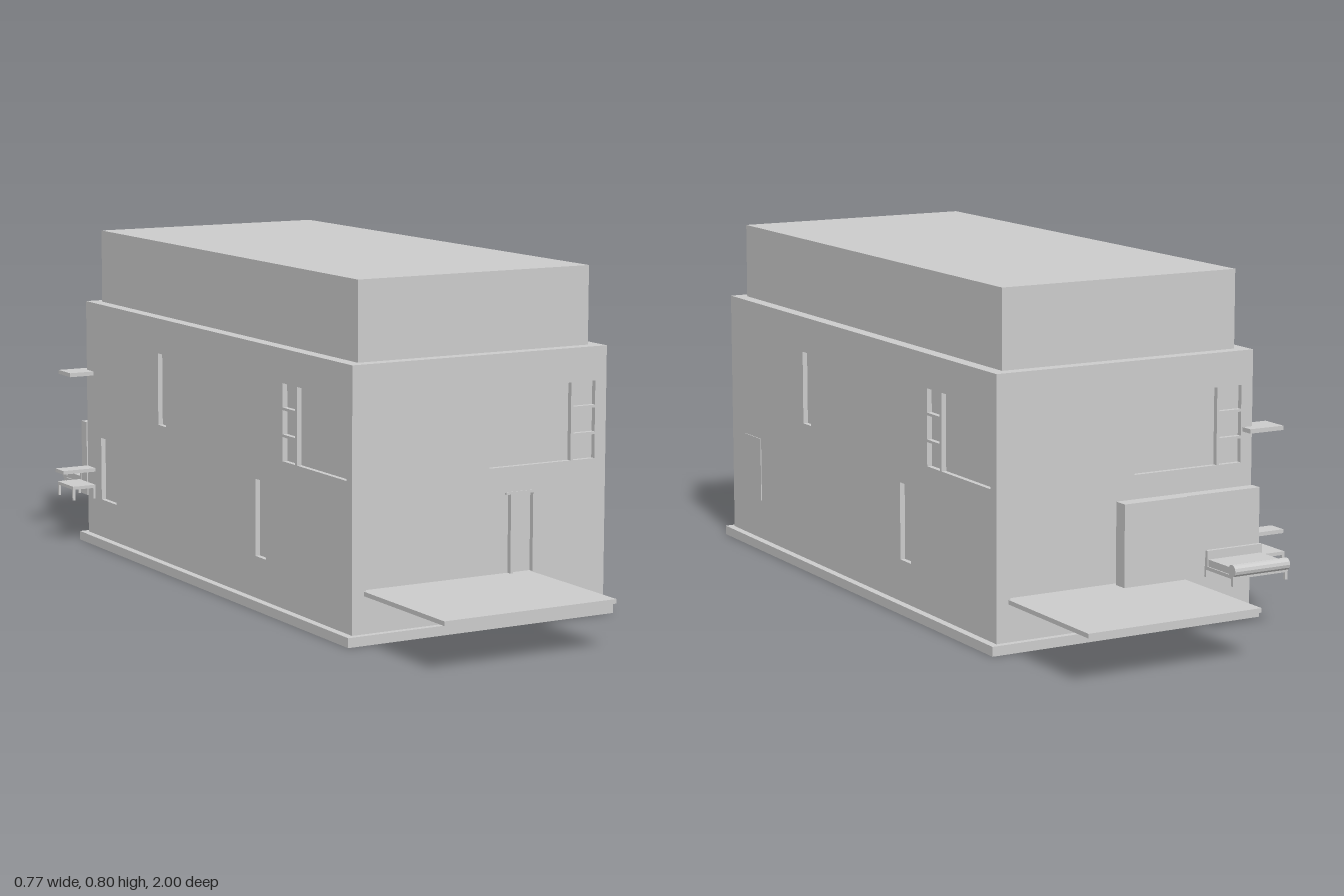
import * as THREE from 'three';

const mat = new THREE.MeshStandardMaterial({ color: 0xcccccc, flatShading: true });
const CX = 0.036;              // centre line of the building
const HW = 0.331, HL = 0.67;   // half width and half length of the walls
const T = 0.012;               // depth of the window and door reveals
const FLOOR = 0.107;

function add(parent, name, geometry) {
  const mesh = new THREE.Mesh(geometry, mat);
  mesh.name = name;
  parent.add(mesh);
  return mesh;
}

// box given by its limits on each axis
function box(parent, name, x0, x1, y0, y1, z0, z1) {
  const mesh = add(parent, name, new THREE.BoxGeometry(x1 - x0, y1 - y0, z1 - z0));
  mesh.position.set((x0 + x1) / 2, (y0 + y1) / 2, (z0 + z1) / 2);
  return mesh;
}

const polygon = (pts, Type = THREE.Shape) => new Type(pts.map(([x, y]) => new THREE.Vector2(x, y)));
const rect = (x0, x1, y0, y1) => [[x0, y0], [x1, y0], [x1, y1], [x0, y1]];

function extrude(outline, holes, depth) {
  const shape = polygon(outline);
  shape.holes = holes.map((h) => polygon(h, THREE.Path));
  return new THREE.ExtrudeGeometry(shape, { depth, bevelEnabled: false });
}

// three small panes stacked beside one large pane
function windowHoles(small0, small1, large0, large1) {
  const holes = [rect(large0, large1, 0.36, 0.537)];
  for (let i = 0; i < 3; i++) {
    const y = 0.36 + i * 0.061;
    holes.push(rect(small0, small1, y, y + 0.055));
  }
  return holes;
}

// floor plan ring with two room voids and a stepped partition, drawn as (x, -z)
function foundation(parent, name, hw, hl, y0, y1) {
  const rooms = [
    [[0.28, -0.61], [0.28, 0.05], [0.045, 0.05], [0.045, -0.105], [-0.28, -0.105], [-0.28, -0.61]],
    [[0.28, 0.61], [0.28, 0.13], [-0.03, 0.13], [-0.03, -0.03], [-0.28, -0.03], [-0.28, 0.61]],
  ];
  const mesh = add(parent, name, extrude(rect(-hw, hw, -hl, hl), rooms, y1 - y0));
  mesh.rotation.x = -Math.PI / 2;
  mesh.position.y = y0;
}

// one end wall and one long wall; the other half is the same turned by 180 degrees
function halfWalls(openSideDoor) {
  const half = new THREE.Group();

  const endHoles = [
    ...windowHoles(0.243, 0.301, 0.02, 0.236),
    rect(-0.296, 0.078, 0.117, 0.302),
    rect(0.085, 0.137, 0.117, 0.302),
  ];
  const end = add(half, 'endWall', extrude(rect(-HW, HW, 0.022, 0.615), endHoles, T));
  end.position.z = HL - T;

  const sideHoles = [
    ...windowHoles(0.36, 0.418, 0.426, 0.645),
    rect(-0.265, -0.224, 0.355, 0.53),
    rect(0.23, 0.28, 0.12, 0.3),
  ];
  if (openSideDoor) sideHoles.push(rect(-0.59, -0.505, 0.118, 0.276));
  const side = add(half, 'sideWall', extrude(rect(-HL + T, HL - T, 0.022, 0.615), sideHoles, T));
  side.rotation.y = Math.PI / 2;
  side.position.x = HW - T;
  if (!openSideDoor) box(half, 'sideDoor', HW - 0.002, HW + 0.002, 0.118, 0.276, 0.505, 0.592);

  box(half, 'doorTrim', 0.065, 0.137, 0.297, 0.303, HL - 0.004, HL + 0.002);
  box(half, 'terrace', -0.301, 0.134, FLOOR, 0.117, HL - T, 1);
  return half;
}

// small top on four legs
function table(parent, name, x0, x1, z0, z1, y0, y1, leg) {
  const group = new THREE.Group();
  group.name = name;
  box(group, 'top', x0, x1, y1 - 0.008, y1, z0, z1);
  for (const x of [x0, x1 - leg])
    for (const z of [z0, z1 - leg]) box(group, 'leg', x, x + leg, y0, y1 - 0.008, z, z + leg);
  parent.add(group);
  return group;
}

export function createModel() {
  const model = new THREE.Group();
  model.name = 'house';

  const shell = new THREE.Group();
  shell.name = 'shell';
  shell.position.x = CX;
  model.add(shell);

  // plinth, hollow foundation and wall core
  foundation(shell, 'plinth', 0.349, 0.685, 0, 0.022);
  foundation(shell, 'foundation', HW - T, HL - T, 0.022, FLOOR);
  box(shell, 'core', -HW + T, HW - T, FLOOR, 0.615, -HL + T, HL - T);
  box(shell, 'upperStorey', -0.3, 0.3, 0.6145, 0.795, -0.64, 0.64);

  const front = halfWalls(false);
  front.name = 'frontHalf';
  const back = halfWalls(true);
  back.name = 'backHalf';
  back.rotation.y = Math.PI;
  shell.add(front, back);

  // sliding panels on the back wall
  box(model, 'slidingPanel', -0.1, 0.063, 0.117, 0.305, -0.705, -0.67);
  box(model, 'fixedPanel', -0.298, -0.1, 0.117, 0.305, -0.7, -0.67);

  // wall shelf and corner counter
  box(model, 'wallShelf', -0.36, -0.27, 0.43, 0.44, -0.7, -0.63);
  box(model, 'counter', -0.385, -0.29, 0.184, 0.193, -0.672, -0.625);

  // stool at the corner
  table(model, 'stool', -0.362, -0.3, -0.71, -0.617, 0.117, 0.152, 0.006);

  // daybed with cushion, backrest and bolster
  const bed = table(model, 'daybed', -0.297, -0.15, -0.815, -0.702, 0.117, 0.142, 0.007);
  box(bed, 'cushion', -0.294, -0.153, 0.142, 0.158, -0.81, -0.704);
  box(bed, 'backrest', -0.297, -0.15, 0.142, 0.178, -0.714, -0.705);
  const bolster = add(bed, 'bolster', new THREE.CylinderGeometry(0.014, 0.014, 0.147, 12));
  bolster.rotation.z = Math.PI / 2;
  bolster.position.set(-0.2235, 0.152, -0.81);

  return model;
}
